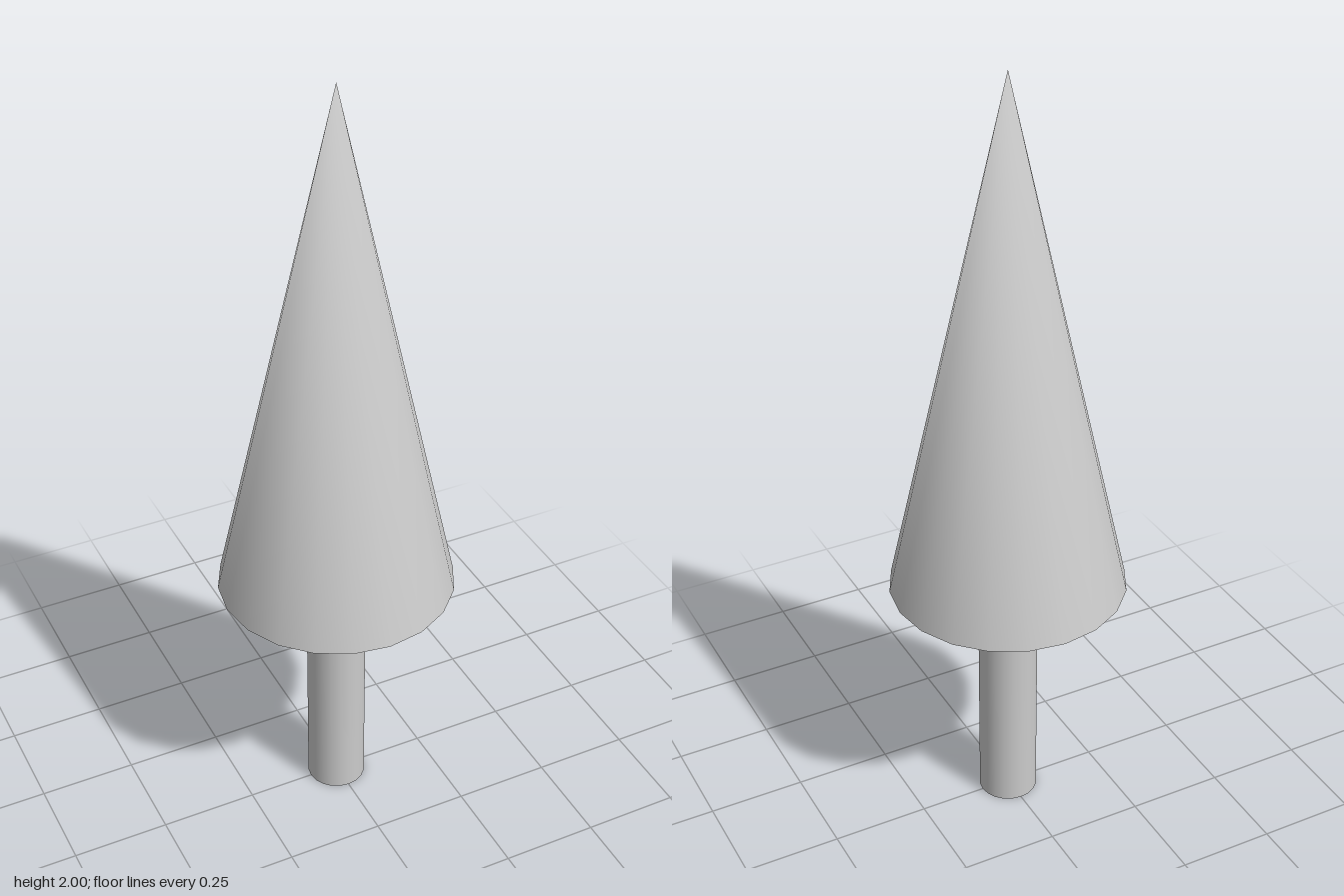
import * as THREE from 'three';

const SIDES = 20;
const TRUNK_HEIGHT = 0.657;
const TRUNK_RADIUS = 0.076;
const CROWN_RADIUS = 0.3;
const TOP = 2;

export function createModel() {
  const material = new THREE.MeshStandardMaterial({ color: 0xcccccc });
  const tree = new THREE.Group();
  tree.name = 'coniferTree';

  // Trunk: plain cylinder reaching the underside of the crown
  const trunk = new THREE.Mesh(
    new THREE.CylinderGeometry(TRUNK_RADIUS, TRUNK_RADIUS, TRUNK_HEIGHT, SIDES), material);
  trunk.name = 'trunk';
  trunk.position.y = TRUNK_HEIGHT / 2;
  tree.add(trunk);

  // Crown: one tall closed cone
  const crownHeight = TOP - TRUNK_HEIGHT;
  const cone = new THREE.ConeGeometry(CROWN_RADIUS, crownHeight, SIDES);
  // Smooth the tip: every normal at the apex points straight up
  const { position, normal } = cone.attributes;
  for (let i = 0; i < position.count; i++) {
    if (position.getY(i) > crownHeight / 2 - 1e-4) normal.setXYZ(i, 0, 1, 0);
  }
  const crown = new THREE.Mesh(cone, material);
  crown.name = 'crown';
  crown.position.y = TRUNK_HEIGHT + crownHeight / 2;
  tree.add(crown);

  return tree;
}
